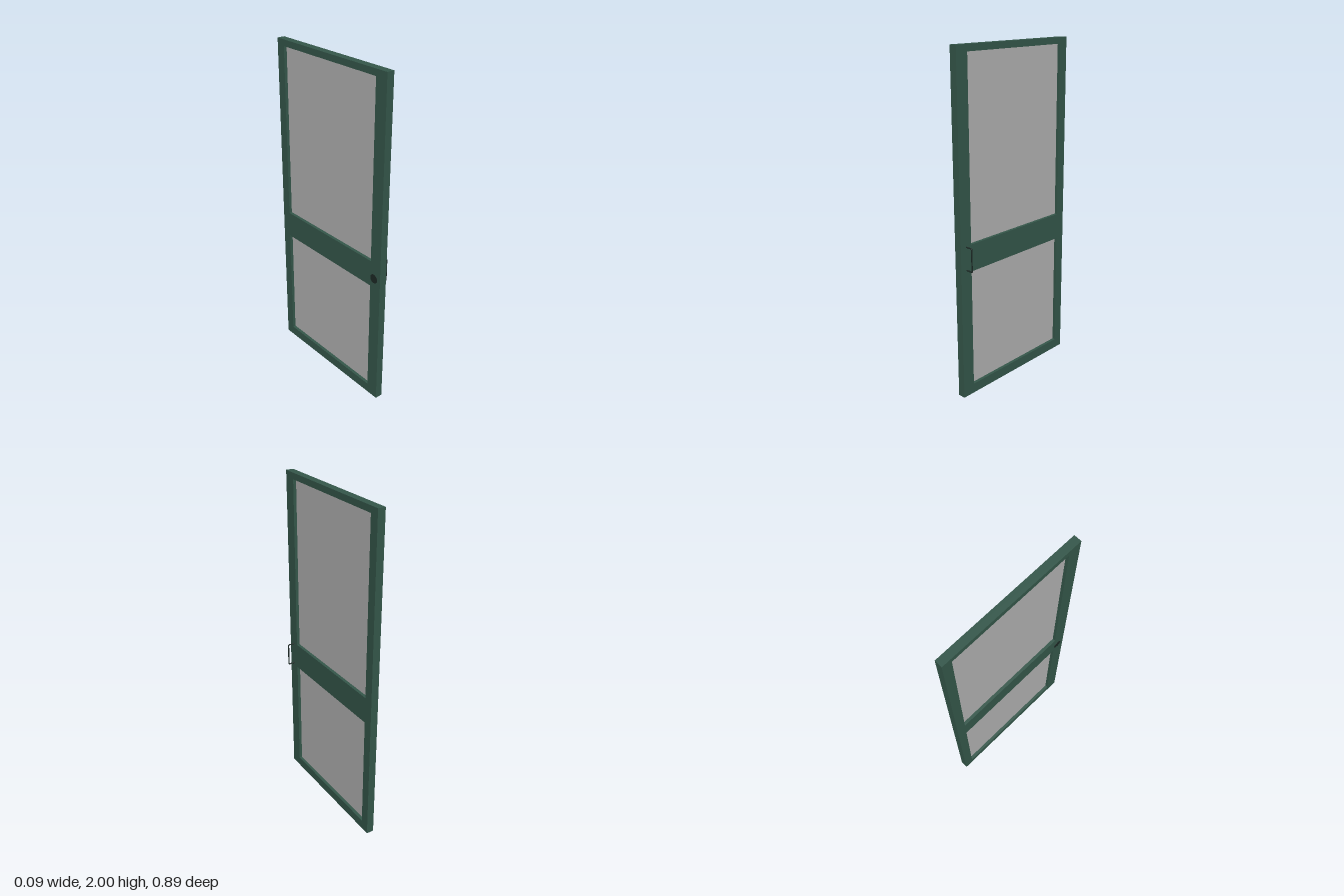
import * as THREE from 'three';

const mat = (name, color) => new THREE.MeshStandardMaterial({ name, color });

export function createModel() {
  const door = new THREE.Group();
  door.name = 'door';
  const frameMat = mat('dark green paint', 0x35584b);
  const glassMat = mat('grey glass', 0xb3b3b3);
  const metalMat = mat('dark metal', 0x1c2925);

  const add = (name, geometry, material) => {
    const mesh = new THREE.Mesh(geometry, material);
    mesh.name = name;
    door.add(mesh);
    return mesh;
  };

  // Sizes: the leaf lies in the y-z plane, its faces at x = -T and x = 0
  const T = 0.045, W = 0.443, zMin = -0.386, zMax = 0.365;
  const openings = [[0.058, 0.767], [0.926, 1.963]];

  // Frame: one slab with two openings, drawn in (-z, y) and turned to face +x
  const outline = new THREE.Shape([
    [-W, 0], [W, 0], [W, 2], [-W, 2],
  ].map(([a, b]) => new THREE.Vector2(a, b)));
  for (const [y0, y1] of openings) {
    outline.holes.push(new THREE.Path([
      [-zMax, y0], [-zMax, y1], [-zMin, y1], [-zMin, y0],
    ].map(([a, b]) => new THREE.Vector2(a, b))));
  }
  const frame = new THREE.ExtrudeGeometry(outline, { depth: T, bevelEnabled: false });
  frame.rotateY(Math.PI / 2).translate(-T, 0, 0);
  add('frame', frame, frameMat);

  // Glass panes, set midway through the leaf
  openings.forEach(([y0, y1], i) => {
    const pane = new THREE.BoxGeometry(0.008, y1 - y0, zMax - zMin);
    pane.translate(-T / 2, (y0 + y1) / 2, (zMin + zMax) / 2);
    add(i ? 'upperPane' : 'lowerPane', pane, glassMat);
  });

  // Pull handle: a round bar bent into a bracket
  const r = 0.004, out = 0.041, yLow = 0.784, yHigh = 0.92, zHandle = 0.401, bend = 0.004;
  const P = (x, y) => new THREE.Vector3(x, y, zHandle);
  const path = new THREE.CurvePath();
  path.add(new THREE.LineCurve3(P(-0.002, yLow), P(out - bend, yLow)));
  path.add(new THREE.QuadraticBezierCurve3(P(out - bend, yLow), P(out, yLow), P(out, yLow + bend)));
  path.add(new THREE.LineCurve3(P(out, yLow + bend), P(out, yHigh - bend)));
  path.add(new THREE.QuadraticBezierCurve3(P(out, yHigh - bend), P(out, yHigh), P(out - bend, yHigh)));
  path.add(new THREE.LineCurve3(P(out - bend, yHigh), P(-0.002, yHigh)));
  add('pullHandle', new THREE.TubeGeometry(path, 96, r, 12, false), metalMat);

  // Round finger plate on the other face
  const plate = new THREE.CylinderGeometry(0.027, 0.027, 0.004, 32);
  plate.rotateZ(Math.PI / 2).translate(-T, 0.825, 0.393);
  add('fingerPlate', plate, metalMat);

  return door;
}
